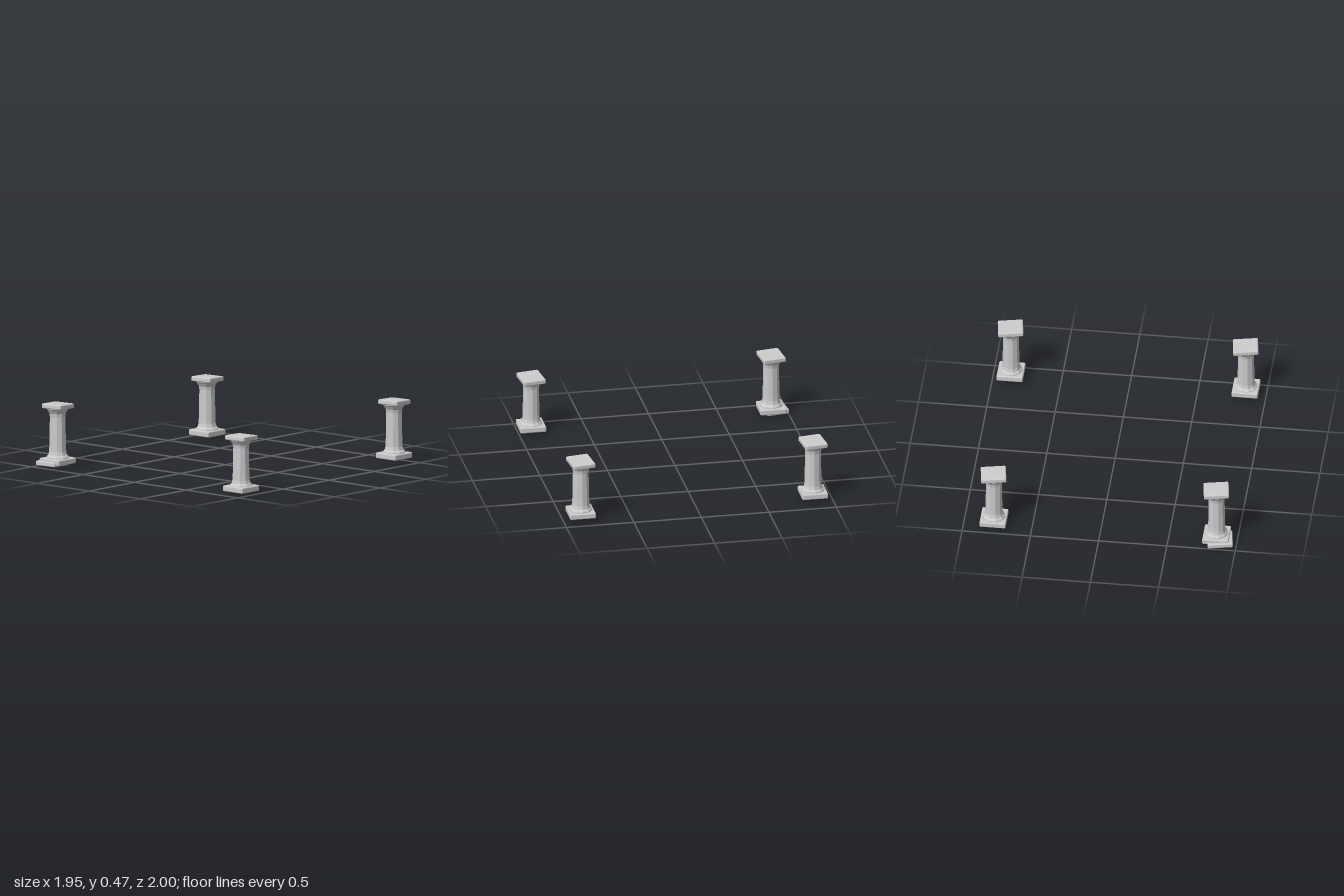
import * as THREE from 'three';
import { RoundedBoxGeometry } from 'three/addons/geometries/RoundedBoxGeometry.js';

const stone = new THREE.MeshStandardMaterial({ color: 0xcccccc });
const facetedStone = new THREE.MeshStandardMaterial({ color: 0xcccccc, flatShading: true });

// Shaft outline: flared foot, slim middle, flared neck (y measured from the base's underside)
const shaftProfile = [
  [0, 0.035], [0.086, 0.035], [0.084, 0.05], [0.07, 0.066], [0.064, 0.09], [0.062, 0.13],
  [0.058, 0.34], [0.062, 0.365], [0.076, 0.388], [0.084, 0.398], [0.084, 0.412], [0, 0.412],
].map(([r, y]) => new THREE.Vector2(r, y));

const baseGeometry = new RoundedBoxGeometry(0.192, 0.043, 0.192, 2, 0.009);
const slabGeometry = new RoundedBoxGeometry(0.184, 0.036, 0.168, 2, 0.009);
const shaftGeometry = new THREE.LatheGeometry(shaftProfile, 10);

function addMesh(parent, name, geometry, material, x, y, z) {
  const mesh = new THREE.Mesh(geometry, material);
  mesh.name = name;
  mesh.position.set(x, y, z);
  parent.add(mesh);
  return mesh;
}

// Slab turned a little and tipped down towards +x
function addSlab(parent, name, x, y, z) {
  const slab = addMesh(parent, name, slabGeometry, stone, x, y, z);
  slab.rotation.set(0, 0.14, -0.055, 'ZYX');
  return slab;
}

function createPillar(name, x, y, z, capY) {
  const pillar = new THREE.Group();
  pillar.name = name;
  pillar.position.set(x, y, z);
  addMesh(pillar, 'base', baseGeometry, stone, 0, 0.0215, 0);
  const shaft = addMesh(pillar, 'shaft', shaftGeometry, facetedStone, 0, 0, 0);
  shaft.scale.y = (capY - 0.004) / 0.412;
  shaft.rotation.y = Math.PI / 10;
  addSlab(pillar, 'cap', 0.003, capY, 0);
  return pillar;
}

export function createModel() {
  const model = new THREE.Group();
  model.name = 'pillars';
  model.add(
    createPillar('frontLeftPillar', 0.867, 0.038, 0.868, 0.415),
    createPillar('backLeftPillar', 0.782, 0.021, -0.869, 0.415),
    createPillar('frontRightPillar', -0.85, 0.021, 0.9, 0.395),
    createPillar('backRightPillar', -0.85, 0.021, -0.878, 0.425),
  );

  // Loose slab lying under one pillar
  addSlab(model, 'looseSlab', -0.878, 0.025, -0.908);
  return model;
}
